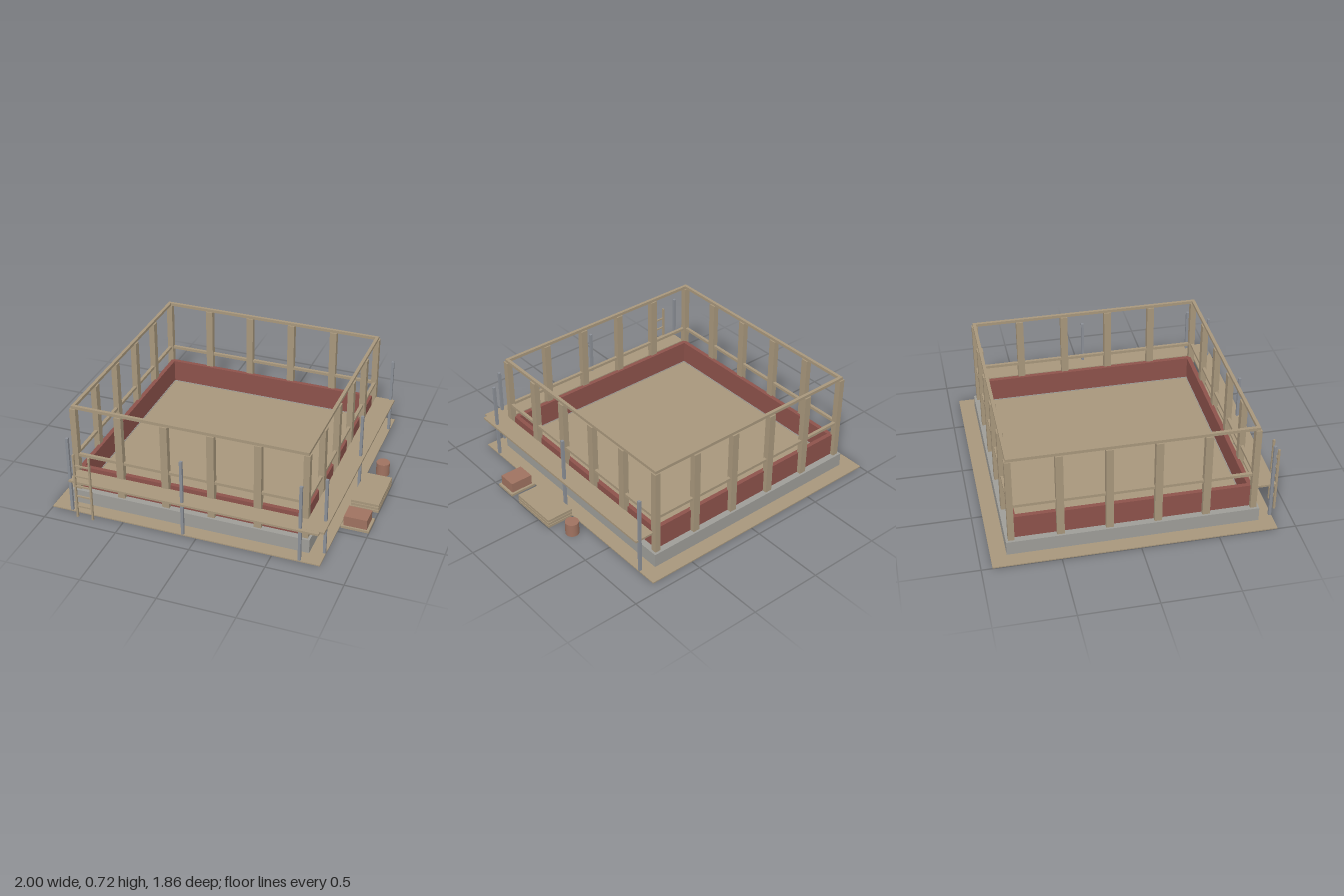
import * as THREE from 'three';

const material = (name, color) => {
  const m = new THREE.MeshStandardMaterial({ color });
  m.name = name;
  return m;
};

export function createModel() {
  const model = new THREE.Group();
  model.name = 'buildingSite';

  const wood = material('wood', 0xa8977c);
  const concrete = material('concrete', 0x9e9d98);
  const brick = material('brickRed', 0x8d524b);
  const steel = material('steel', 0x8b8f96);
  const clay = material('clay', 0x9f7260);

  // Box given by its lower and upper bounds on each axis
  const box = (name, mat, x0, x1, y0, y1, z0, z1, parent = model) => {
    const mesh = new THREE.Mesh(new THREE.BoxGeometry(x1 - x0, y1 - y0, z1 - z0), mat);
    mesh.position.set((x0 + x1) / 2, (y0 + y1) / 2, (z0 + z1) / 2);
    mesh.name = name;
    parent.add(mesh);
    return mesh;
  };

  // Square ring extruded upwards, centred on its parent
  const ring = (name, mat, outer, inner, y0, y1, parent) => {
    const square = (Type, h) => new Type([[-h, -h], [h, -h], [h, h], [-h, h]].map(p => new THREE.Vector2(...p)));
    const shape = square(THREE.Shape, outer);
    shape.holes.push(square(THREE.Path, inner));
    const geometry = new THREE.ExtrudeGeometry(shape, { depth: y1 - y0, bevelEnabled: false });
    geometry.rotateX(-Math.PI / 2);
    const mesh = new THREE.Mesh(geometry, mat);
    mesh.position.y = y0;
    mesh.name = name;
    parent.add(mesh);
  };

  box('ground', wood, -1, 0.81, 0, 0.008, -0.93, 0.88);

  // House shell
  const house = new THREE.Group();
  house.name = 'houseShell';
  house.position.set(-0.095, 0, -0.022);
  model.add(house);
  ring('foundation', concrete, 0.807, 0.73, 0.004, 0.104, house);
  box('floor', wood, -0.735, 0.735, 0.085, 0.1, -0.735, 0.735, house);
  ring('brickWall', brick, 0.764, 0.735, 0.1, 0.262, house);
  ring('middleRail', wood, 0.783, 0.762, 0.352, 0.371, house);
  ring('topRail', wood, 0.783, 0.762, 0.7, 0.72, house);

  // Studs on all four sides, with a square post at each corner
  for (let side = 0; side < 4; side++) {
    const frame = new THREE.Group();
    frame.name = 'studWall';
    frame.rotation.y = side * Math.PI / 2;
    house.add(frame);
    for (const x of [-0.4625, -0.154, 0.154, 0.4625]) {
      box('stud', wood, x - 0.024, x + 0.024, 0.104, 0.7, 0.753, 0.793, frame);
    }
    box('cornerPost', wood, 0.751, 0.791, 0.104, 0.7, 0.751, 0.791, frame);
  }

  // Scaffold walkway along the front and the left side
  box('frontWalkway', wood, -0.86, 0.8, 0.236, 0.25, 0.765, 0.897);
  box('sideWalkway', wood, 0.695, 0.828, 0.2365, 0.2505, -0.79, 0.87);
  const poles = [[-0.862, 0.87], [-0.093, 0.87], [0.677, 0.87], [0.8, 0.747], [0.8, -0.022], [0.8, -0.79]];
  for (const [x, z] of poles) {
    box('scaffoldPole', steel, x - 0.009, x + 0.009, 0, 0.55, z - 0.009, z + 0.009);
  }

  // Ladder
  const ladder = new THREE.Group();
  ladder.name = 'ladder';
  model.add(ladder);
  for (const x of [-0.8, -0.694]) {
    box('ladderRail', wood, x - 0.006, x + 0.006, 0, 0.47, 0.914, 0.928, ladder);
  }
  for (let i = 0; i < 5; i++) {
    const y = 0.085 + i * 0.0765;
    box('ladderRung', wood, -0.8, -0.694, y - 0.005, y + 0.005, 0.916, 0.926, ladder);
  }

  // Stack of boards
  for (let i = 0; i < 3; i++) {
    const y = 0.004 + i * 0.022;
    box('board', wood, 0.815, 1, y, y + 0.017, -0.112, 0.225);
    if (i < 2) box('boardSpacer', wood, 0.825, 0.99, y + 0.017, y + 0.022, -0.1, 0.212);
  }

  // Bricks on a pallet
  box('pallet', wood, 0.815, 1, 0, 0.016, 0.305, 0.455);
  box('brickStack', clay, 0.83, 0.983, 0.016, 0.085, 0.32, 0.443);

  // Barrel
  const barrel = new THREE.Mesh(new THREE.CylinderGeometry(0.045, 0.045, 0.09, 24), clay);
  barrel.position.set(0.905, 0.045, -0.236);
  barrel.name = 'barrel';
  model.add(barrel);

  return model;
}
